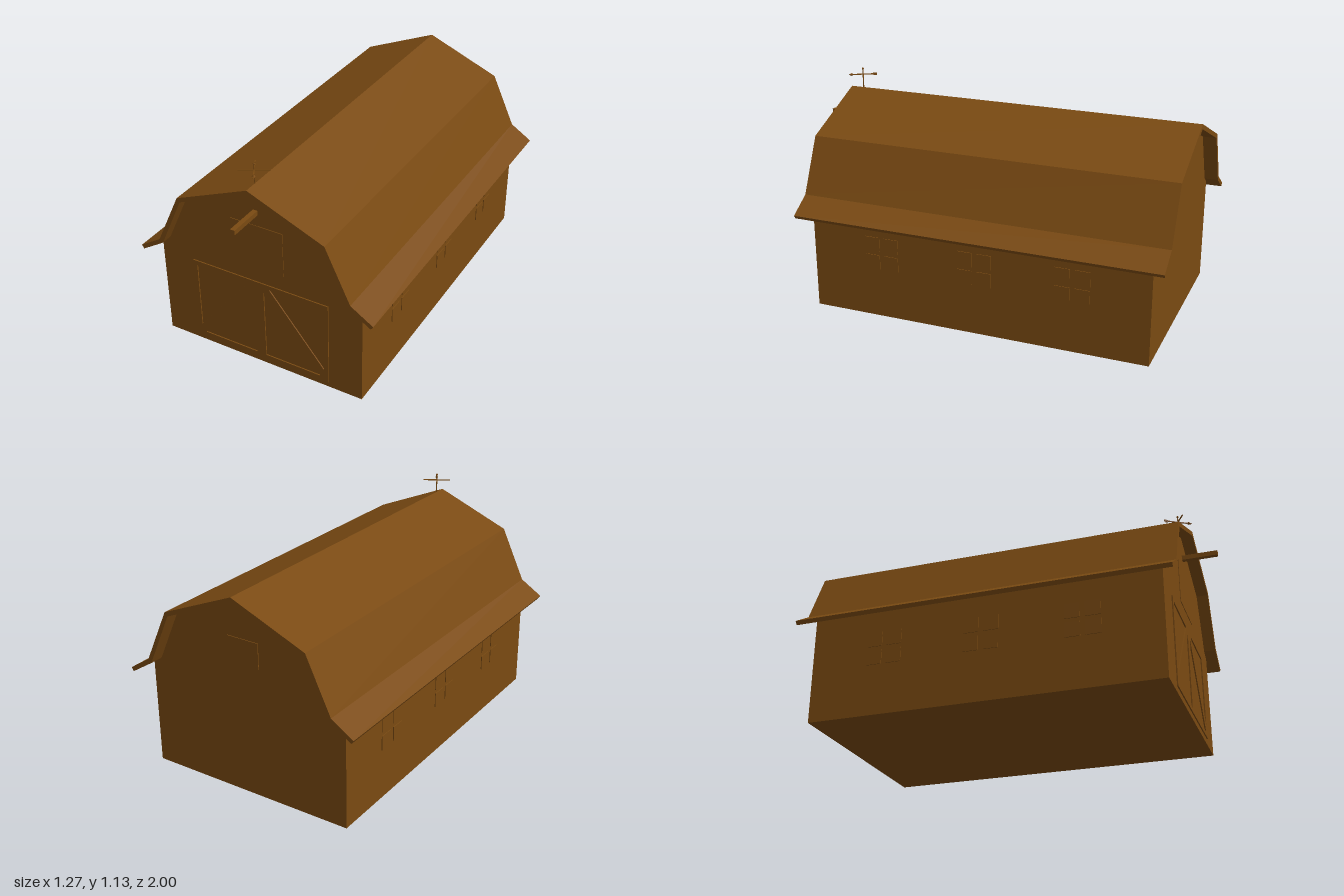
import * as THREE from 'three';

export function createModel() {
  const barn = new THREE.Group();
  barn.name = 'barn';
  const wood = new THREE.MeshStandardMaterial({ color: 0x7a4a12, flatShading: true });

  const add = (parent, name, geometry, x = 0, y = 0, z = 0) => {
    const mesh = new THREE.Mesh(geometry, wood);
    mesh.name = name;
    mesh.position.set(x, y, z);
    parent.add(mesh);
    return mesh;
  };
  const box = (parent, name, w, h, d, x, y, z) =>
    add(parent, name, new THREE.BoxGeometry(w, h, d), x, y, z);
  const toShape = (pts) => new THREE.Shape(pts.map(([x, y]) => new THREE.Vector2(x, y)));
  const extrude = (shape, depth) => new THREE.ExtrudeGeometry(shape, { depth, bevelEnabled: false });
  // Complete a symmetric profile, given its +x half from the outside to the ridge
  const mirror = (half) => [...half, ...half.slice(0, -1).reverse().map(([x, y]) => [-x, y])];

  // Walls: one gambrel-ended block, its top tucked inside the roof
  const walls = mirror([[0.55, 0], [0.55, 0.553], [0.51, 0.578], [0.383, 0.848], [0, 1.008]]);
  add(barn, 'walls', extrude(toShape(walls), 1.75), 0, 0, -0.93);

  // Roof: folded slab with flared eaves
  const outer = mirror([[0.635, 0.512], [0.52, 0.585], [0.392, 0.857], [0, 1.02]]);
  const inner = mirror([[0.623, 0.494], [0.502, 0.57], [0.377, 0.839], [0, 0.995]]);
  add(barn, 'roof', extrude(toShape([...outer, ...inner.reverse()]), 1.88), 0, 0, -1);

  // Main doors: raised framework with triangular openings beside the braces
  const frame = toShape([[-0.374, 0.03], [0.374, 0.03], [0.374, 0.483], [-0.374, 0.483]]);
  for (const s of [-1, 1]) {
    const upper = [[s * 0.35, 0.46], [s * 0.058, 0.46], [s * 0.35, 0.098]];
    const lower = [[s * 0.026, 0.435], [s * 0.026, 0.054], [s * 0.33, 0.054]];
    frame.holes.push(toShape(upper), toShape(lower));
  }
  add(barn, 'mainDoors', extrude(frame, 0.006), 0, 0, 0.82);

  // Loft door, hoist beam and rear hatch
  box(barn, 'loftDoor', 0.28, 0.235, 0.006, 0, 0.683, 0.82);
  box(barn, 'hoistBeam', 0.024, 0.024, 0.2, 0, 0.872, 0.9);
  box(barn, 'rearHatch', 0.172, 0.128, 0.008, 0, 0.731, -0.93);

  // Side windows: three per wall, four panes each
  for (const side of [-1, 1]) {
    for (const z of [0.44, -0.055, -0.55]) {
      const sideWindow = new THREE.Group();
      sideWindow.name = 'sideWindow';
      sideWindow.position.set(side * 0.55, 0.342, z);
      barn.add(sideWindow);
      for (const dy of [-0.047, 0.047])
        for (const dz of [-0.05, 0.05]) box(sideWindow, 'pane', 0.008, 0.075, 0.075, 0, dy, dz);
    }
  }

  // Weathervane on the front end of the ridge
  const vane = new THREE.Group();
  vane.name = 'weathervane';
  vane.position.set(0, 1.09, 0.81);
  vane.rotation.y = Math.PI / 6;
  barn.add(vane);
  add(vane, 'pole', new THREE.CylinderGeometry(0.003, 0.003, 0.11, 6), 0, -0.022, 0);
  add(vane, 'finial', new THREE.SphereGeometry(0.006, 6, 4), 0, 0.03, 0);
  box(vane, 'crossBar', 0.145, 0.005, 0.005, 0, 0, 0);
  box(vane, 'arrowShaft', 0.005, 0.005, 0.145, 0, 0, 0);
  const tip = add(vane, 'arrowHead', new THREE.ConeGeometry(0.009, 0.022, 4), 0, 0, 0.066);
  tip.rotation.x = Math.PI / 2;
  box(vane, 'arrowTail', 0.003, 0.014, 0.02, 0, 0, -0.063);

  return barn;
}
